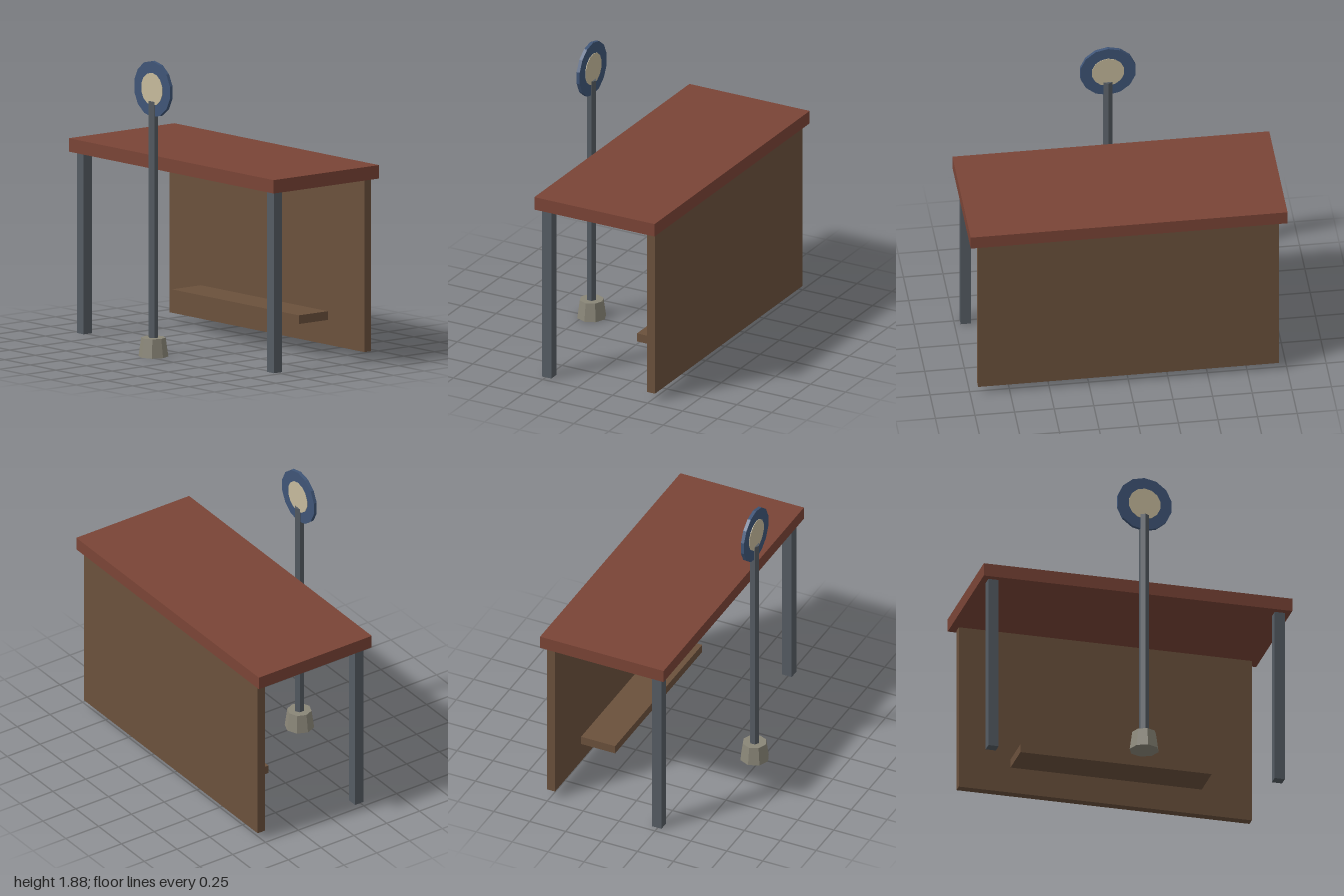
import * as THREE from 'three';

const material = (name, color) => {
  const m = new THREE.MeshStandardMaterial({ color, flatShading: true });
  m.name = name;
  return m;
};

export function createModel() {
  const group = new THREE.Group();
  group.name = 'busShelter';

  const roofRed = material('roofRed', 0x7a4436);
  const wood = material('woodBrown', 0x6b513c);
  const metal = material('metalGrey', 0x555c63);
  const concrete = material('concreteGrey', 0x8a8678);
  const blue = material('signBlue', 0x3f5577);
  const cream = material('signCream', 0xc6ba9c);

  const add = (name, geometry, mat, x, y, z) => {
    const mesh = new THREE.Mesh(geometry, mat);
    mesh.name = name;
    mesh.position.set(x, y, z);
    group.add(mesh);
    return mesh;
  };
  // Box given by its low and high corners
  const box = (name, mat, [x0, y0, z0], [x1, y1, z1]) =>
    add(name, new THREE.BoxGeometry(x1 - x0, y1 - y0, z1 - z0), mat,
      (x0 + x1) / 2, (y0 + y1) / 2, (z0 + z1) / 2);

  // Shelter
  box('roof', roofRed, [-1, 1.15, -0.55], [1, 1.235, 0.31]);
  box('backPanel', wood, [-0.95, 0.05, -0.525], [0.95, 1.15, -0.47]);
  box('bench', wood, [-0.62, 0.213, -0.45], [0.62, 0.268, -0.213]);
  for (const [name, x] of [['leftPost', 0.928], ['rightPost', -0.928]]) {
    box(name, metal, [x - 0.033, 0, 0.21], [x + 0.033, 1.147, 0.276]);
  }

  // Sign pole on its tapered foot
  const signZ = 0.455;
  add('signFoot', new THREE.CylinderGeometry(0.077, 0.094, 0.12, 8), concrete, 0, 0.06, signZ);
  add('signPole', new THREE.CylinderGeometry(0.032, 0.032, 1.52, 6), metal, 0, 0.86, signZ);

  // Round sign with a face plate showing on both sides
  const disc = (name, r, depth, mat) => {
    const geometry = new THREE.CylinderGeometry(r, r, depth, 14).rotateX(-Math.PI / 2);
    add(name, geometry, mat, 0, 1.697, signZ);
  };
  disc('signRim', 0.178, 0.022, blue);
  disc('signFace', 0.104, 0.029, cream);

  return group;
}
